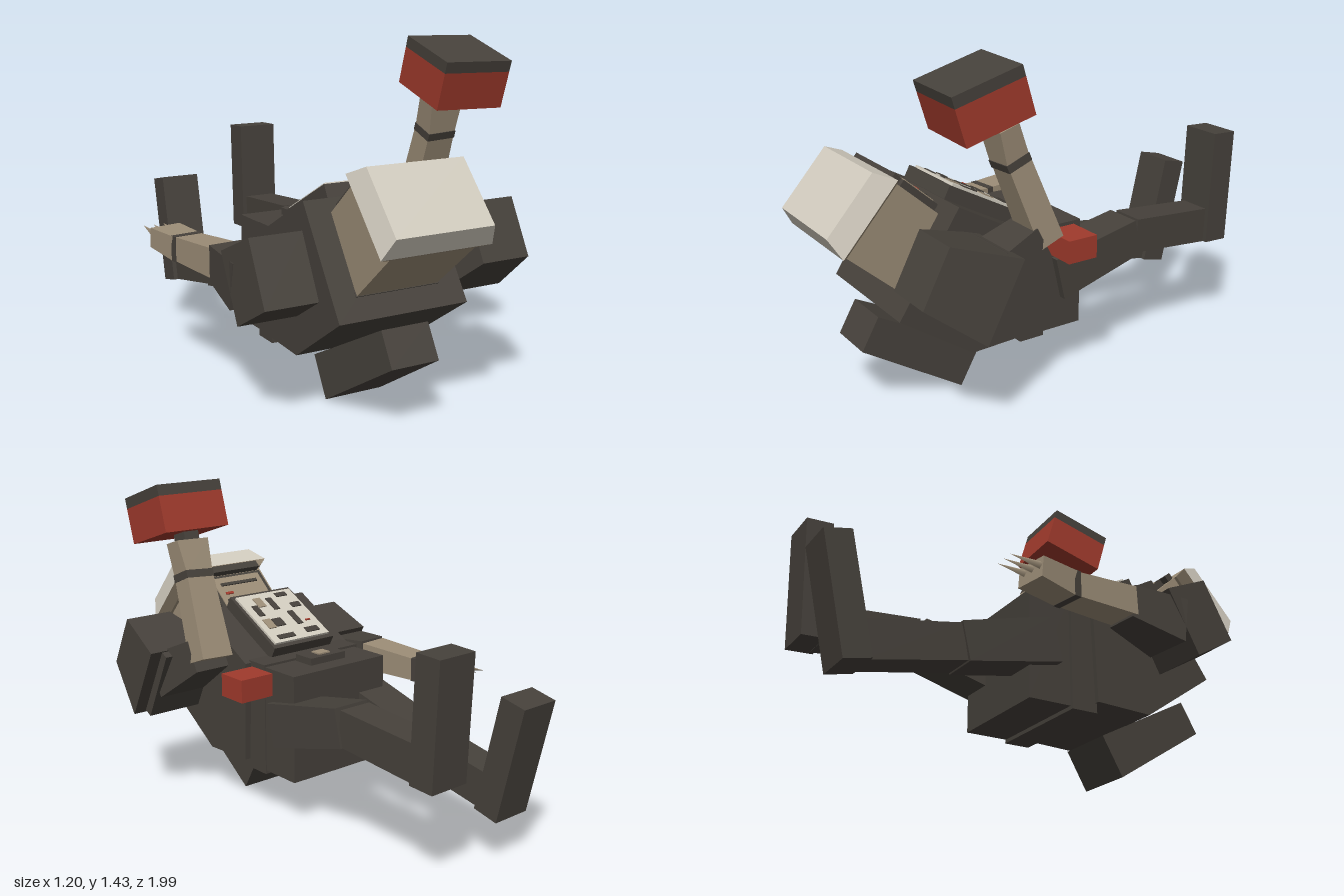
import * as THREE from 'three';

const material = (name, color) => Object.assign(new THREE.MeshStandardMaterial({ color }), { name });

export function createModel() {
  const root = new THREE.Group();
  root.name = 'recliningFigure';
  const dark = material('charcoal', 0x46413b);
  const tan = material('tan', 0x9c8d77);
  const cream = material('cream', 0xd2ccbf);
  const red = material('red', 0xa03a2c);

  const add = (name, geometry, mat, parent = root) => {
    const mesh = new THREE.Mesh(geometry, mat);
    mesh.name = name;
    parent.add(mesh);
    return mesh;
  };

  // Box whose near (-z) end measures a = [w, t] and far (+z) end b = [w, t]
  const taperedBox = (a, b, length) => {
    const g = new THREE.BoxGeometry(1, 1, length);
    const p = g.attributes.position;
    for (let i = 0; i < p.count; i++) {
      const s = p.getZ(i) < 0 ? a : b;
      p.setXY(i, p.getX(i) * s[0], p.getY(i) * s[1]);
    }
    g.computeVertexNormals();
    return g;
  };

  // Tapered box running between two points, shifted along its own thickness by lift
  const beam = (name, mat, from, to, a, b = a, lift = 0) => {
    const start = new THREE.Vector3(...from), end = new THREE.Vector3(...to);
    const dir = end.clone().sub(start);
    const mesh = add(name, taperedBox(a, b, dir.length()), mat);
    dir.normalize();
    const up = dir.clone().cross(new THREE.Vector3(1, 0, 0)).normalize();
    const side = up.clone().cross(dir);
    mesh.quaternion.setFromRotationMatrix(new THREE.Matrix4().makeBasis(side, up, dir));
    mesh.position.addVectors(start, end).multiplyScalar(0.5).addScaledVector(up, lift);
    return mesh;
  };

  const block = (name, mat, size, pos, parent = root) => {
    const mesh = add(name, new THREE.BoxGeometry(...size), mat, parent);
    mesh.position.set(...pos);
    return mesh;
  };

  // Chest: side profile in (z, y), extruded across x
  const profile = [[0.757, 0.45], [0.49, 0.855], [0.175, 0.68], [0.19, 0.245], [0.44, 0.235]];
  const chest = new THREE.ExtrudeGeometry(
    new THREE.Shape(profile.map(([z, y]) => new THREE.Vector2(z, y))),
    { depth: 0.57, bevelEnabled: false });
  chest.rotateY(-Math.PI / 2).translate(0.283, 0, 0);
  add('chest', chest, dark);

  // Waist, hips and buckle
  block('waist', dark, [0.52, 0.485, 0.115], [-0.005, 0.447, 0.14]);
  block('hips', dark, [0.5, 0.46, 0.19], [0.0, 0.45, -0.01]);
  block('beltPouch', dark, [0.19, 0.04, 0.1], [-0.005, 0.69, 0.025]);
  block('buckle', tan, [0.06, 0.008, 0.05], [-0.005, 0.712, 0.025]);

  // Chest panel with a mottled cream surface
  const panel = new THREE.Group();
  panel.name = 'chestPanel';
  panel.position.set(-0.01, 0.79, 0.31);
  panel.rotation.x = -0.49;
  root.add(panel);
  block('panelFrame', dark, [0.33, 0.06, 0.36], [0, 0, 0], panel);
  block('panelSurface', cream, [0.3, 0.02, 0.32], [0, 0.03, 0], panel);
  const patches = [
    [-0.08, -0.12, 0.07, 0.03], [0.07, -0.13, 0.09, 0.025], [-0.05, -0.03, 0.03, 0.09],
    [0.05, -0.04, 0.05, 0.05], [-0.11, 0.05, 0.05, 0.03], [0.0, 0.08, 0.03, 0.08],
    [0.1, 0.05, 0.03, 0.07], [-0.08, 0.13, 0.06, 0.025]];
  for (const [x, z, w, d] of patches) block('panelPatch', dark, [w, 0.004, d], [x, 0.042, z], panel);
  for (const [x, z] of [[0.1, -0.04], [0.06, 0.1]]) block('panelTanPatch', tan, [0.04, 0.004, 0.06], [x, 0.0425, z], panel);
  block('panelMark', red, [0.025, 0.004, 0.008], [-0.1, 0.043, -0.06], panel);

  // Head: local +z is the crown, local +y is the face
  const head = new THREE.Group();
  head.name = 'head';
  head.position.set(-0.003, 0.918, 0.9);
  head.rotation.x = -0.72;
  root.add(head);
  const part = (name, mat, a, b, z0, z1) => {
    add(name, taperedBox(a, b, z1 - z0), mat, head).position.z = (z0 + z1) / 2;
  };
  part('crown', cream, [0.48, 0.35], [0.42, 0.29], -0.09, 0);
  part('crownRim', tan, [0.4, 0.33], [0.48, 0.35], -0.12, -0.09);
  part('skull', tan, [0.36, 0.33], [0.37, 0.33], -0.41, -0.12);
  part('collar', dark, [0.38, 0.345], [0.37, 0.335], -0.45, -0.4);
  block('browBar', dark, [0.33, 0.04, 0.035], [0, 0.175, -0.125], head);
  block('faceFrame', dark, [0.3, 0.05, 0.19], [0, 0.17, -0.26], head);
  block('face', tan, [0.26, 0.02, 0.16], [0, 0.19, -0.26], head);
  block('eyeLine', dark, [0.2, 0.006, 0.015], [0, 0.202, -0.22], head);
  block('mouthLine', dark, [0.22, 0.006, 0.012], [0, 0.202, -0.31], head);
  block('cheekMark', red, [0.04, 0.006, 0.012], [0.08, 0.202, -0.27], head);

  // Left arm, raised
  beam('leftShoulder', dark, [0.435, 0.58, 0.485], [0.435, 0.713, 0.74], [0.33, 0.345], [0.22, 0.245]);
  beam('leftSleeveCuff', dark, [0.42, 0.565, 0.45], [0.42, 0.6, 0.52], [0.25, 0.33]);
  beam('leftUpperArm', dark, [0.42, 0.735, 0.25], [0.42, 0.6, 0.5], [0.16, 0.135], [0.22, 0.19]);
  beam('leftForearm', tan, [0.43, 0.72, 0.215], [0.415, 1.045, 0.342], [0.145, 0.11], [0.125, 0.1]);
  beam('leftWristBand', dark, [0.415, 1.035, 0.34], [0.413, 1.065, 0.352], [0.13, 0.105]);
  beam('leftHand', tan, [0.413, 1.06, 0.35], [0.41, 1.19, 0.392], [0.125, 0.1], [0.15, 0.085]);
  beam('hammerHandle', dark, [0.41, 1.18, 0.39], [0.405, 1.25, 0.415], [0.07, 0.08]);

  // Hammer block: red body with a dark upper layer
  const hammer = [[0.405, 1.342, 0.347], [0.39, 1.258, 0.625]];
  beam('hammerBody', red, ...hammer, [0.297, 0.15], [0.297, 0.15], -0.0225);
  beam('hammerTop', dark, ...hammer, [0.297, 0.045], [0.297, 0.045], 0.075);

  // Right arm, lying along the body
  beam('rightShoulder', dark, [-0.435, 0.54, 0.42], [-0.435, 0.64, 0.615], [0.25, 0.29], [0.22, 0.27]);
  beam('rightUpperArm', dark, [-0.47, 0.585, 0.19], [-0.455, 0.55, 0.43], [0.14, 0.14], [0.21, 0.19]);
  beam('rightForearm', tan, [-0.505, 0.575, -0.1], [-0.475, 0.585, 0.2], [0.12, 0.1], [0.14, 0.12]);
  beam('rightWristBand', dark, [-0.508, 0.575, -0.11], [-0.504, 0.575, -0.08], [0.127, 0.107]);
  beam('rightHand', tan, [-0.53, 0.59, -0.27], [-0.507, 0.575, -0.1], [0.14, 0.085], [0.125, 0.105]);
  for (const i of [-1, 0, 1]) {
    const claw = add('claw', new THREE.ConeGeometry(0.018, 0.14, 4), tan);
    claw.rotation.x = -Math.PI / 2 + 0.1;
    claw.position.set(-0.535 + i * 0.045, 0.605, -0.32);
  }

  // Legs, each with its own bend
  const leg = (side, x, hip, knee, ankle, toe, heel) => {
    beam(side + 'Thigh', dark, [x, ...knee], [x, ...hip], [0.17, 0.16], [0.185, 0.19]);
    beam(side + 'Shin', dark, [x, ...ankle], [x, ...knee], [0.14, 0.155], [0.15, 0.15]);
    beam(side + 'Foot', dark, [x, ...heel], [x, ...toe], [0.18, 0.115], [0.18, 0.115]);
  };
  leg('left', 0.19, [0.447, 0.015], [0.545, -0.4], [0.512, -0.82], [0.938, -0.872], [0.435, -0.852]);
  leg('right', -0.2, [0.47, 0.0], [0.378, -0.4], [0.3, -0.81], [0.7, -0.937], [0.215, -0.827]);

  // Separate pieces around the figure
  block('redCube', red, [0.155, 0.095, 0.135], [0.38, 0.642, 0.035]);
  beam('backBlock', dark, [-0.004, 0.09, 0.36], [-0.004, 0.337, 0.795], [0.26, 0.185], [0.21, 0.15]);

  return root;
}
